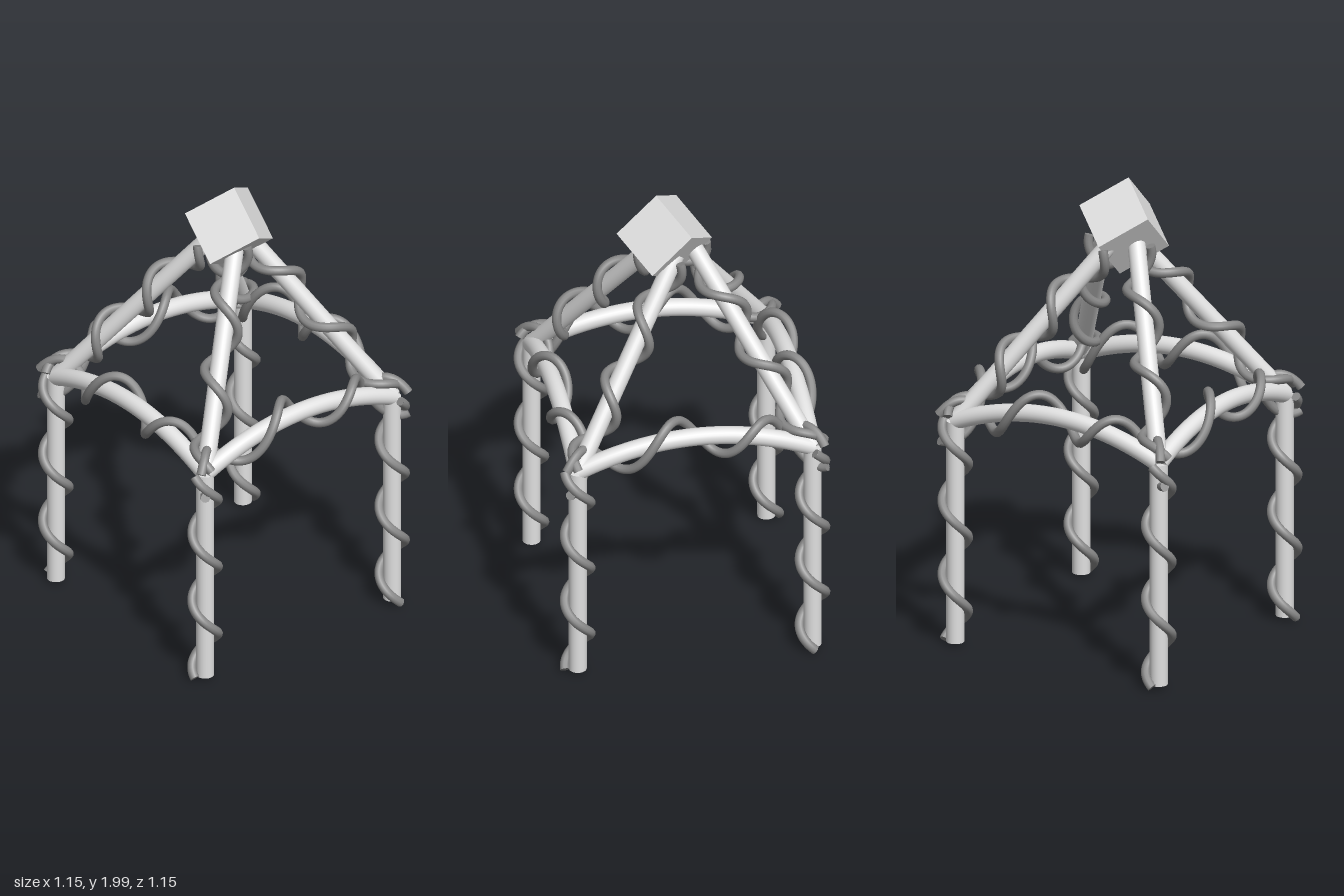
import * as THREE from 'three';

const BAR = 0.038, VINE = 0.02, BASE = 0.02, EAVE = 1.0;

// Curve from a plain function of t
class PathCurve extends THREE.Curve {
  constructor(fn) { super(); this.fn = fn; }
  getPoint(t, target = new THREE.Vector3()) { return target.copy(this.fn(t)); }
}

// Round tube with flat end discs
function cappedTube(name, curve, radius, segments, sides, material) {
  const group = new THREE.Group();
  group.name = name;
  const tube = new THREE.Mesh(new THREE.TubeGeometry(curve, segments, radius, sides), material);
  tube.name = name + 'Tube';
  group.add(tube);
  for (const t of [0, 1]) {
    const cap = new THREE.Mesh(new THREE.CircleGeometry(radius, sides), material);
    cap.name = name + 'End';
    const dir = curve.getTangent(t).multiplyScalar(t ? 1 : -1);
    cap.quaternion.setFromUnitVectors(new THREE.Vector3(0, 0, 1), dir);
    cap.position.copy(curve.getPoint(t));
    group.add(cap);
  }
  return group;
}

// Helix around a path, from vector a towards vector b, over the range t0 to t1 of the path
function helix(path, a, b, turns, phase, t0, t1) {
  return new PathCurve((u) => {
    const t = t0 + (t1 - t0) * u;
    const angle = phase + t * turns * Math.PI * 2;
    return path.getPoint(t).clone()
      .addScaledVector(a, Math.cos(angle))
      .addScaledVector(b, Math.sin(angle));
  });
}

export function createModel() {
  const model = new THREE.Group();
  model.name = 'pavilionFrame';
  const pale = new THREE.MeshStandardMaterial({ color: 0xe0e0e0 });
  pale.name = 'paleGrey';
  const dark = new THREE.MeshStandardMaterial({ color: 0x888888 });
  dark.name = 'midGrey';
  const V = (x, y, z) => new THREE.Vector3(x, y, z);

  // One quarter of the frame, repeated four times around the centre
  for (let i = 0; i < 4; i++) {
    const quarter = new THREE.Group();
    quarter.name = 'frameQuarter';
    quarter.rotation.y = i * Math.PI / 2;
    model.add(quarter);

    // Corner post and its vine
    const post = new THREE.LineCurve3(V(-0.5, BASE, 0.5), V(-0.5, EAVE, 0.5));
    quarter.add(cappedTube('post', post, BAR, 1, 24, pale));
    const postVine = helix(post, V(0.055, 0, 0), V(0, 0, 0.055), 3, Math.PI, 0, 1);
    quarter.add(cappedTube('postVine', postVine, VINE, 100, 10, dark));

    // Arched beam between two posts; its vine runs on past both corners
    const arch = new THREE.QuadraticBezierCurve3(
      V(-0.5, EAVE, 0.5), V(0, 1.22, 0.5), V(0.5, EAVE, 0.5));
    quarter.add(cappedTube('archBeam', arch, BAR, 32, 24, pale));
    const archVine = helix(arch, V(0, 0.085, 0), V(0, 0, -0.055), 2.5, 0, -0.055, 1.055);
    quarter.add(cappedTube('archVine', archVine, VINE, 110, 10, dark));

    // Sloping rafter to the top and its vine
    const foot = V(-0.5, EAVE, 0.5), head = V(0, 1.75, 0.08);
    const rafter = new THREE.LineCurve3(foot, head);
    quarter.add(cappedTube('rafter', rafter, BAR, 1, 24, pale));
    const dir = head.clone().sub(foot).normalize();
    const left = V(0, 1, 0).cross(dir).normalize();
    const up = dir.clone().cross(left);
    const rafterVine = helix(rafter, up.multiplyScalar(0.06), left.multiplyScalar(0.06),
      3, -0.6, 0, 0.97);
    quarter.add(cappedTube('rafterVine', rafterVine, VINE, 110, 10, dark));
  }

  // Tilted cube on top
  const cube = new THREE.Mesh(new THREE.BoxGeometry(0.238, 0.238, 0.238), pale);
  cube.name = 'topCube';
  cube.rotation.set(0, Math.PI / 4, Math.PI / 4, 'ZYX');
  cube.position.set(0.033, 1.798, 0);
  model.add(cube);

  return model;
}
